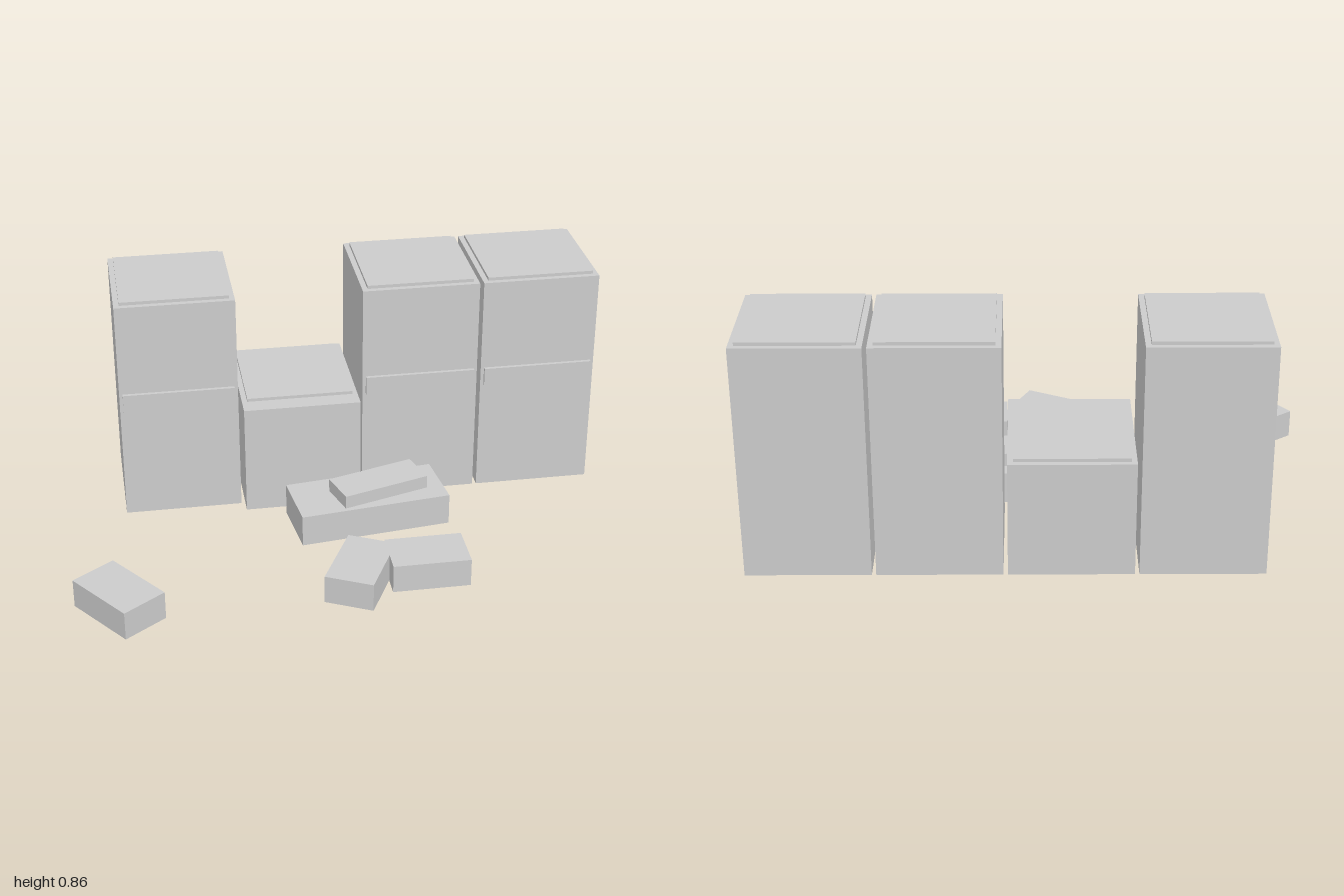
import * as THREE from 'three';

export function createModel() {
  const model = new THREE.Group();
  const grey = new THREE.MeshStandardMaterial({ color: 0xcccccc });
  grey.name = 'plain grey';

  // Box standing on height y, centred on x and z, turned about the vertical
  function box(parent, name, [w, h, d], [x, y, z], turn = 0) {
    const mesh = new THREE.Mesh(new THREE.BoxGeometry(w, h, d), grey);
    mesh.name = name;
    mesh.position.set(x, y + h / 2, z);
    mesh.rotation.y = turn;
    parent.add(mesh);
  }

  // Row of cabinets: three tall ones with a front rail, one low with a front panel
  const W = 0.435, D = 0.445, Z = -0.4075, FRONT = -0.185;
  [-0.5675, -0.1175, 0.3325, 0.7825].forEach((x, i) => {
    const low = i === 1;
    const h = low ? 0.425 : 0.852;
    const cabinet = new THREE.Group();
    cabinet.name = low ? 'lowCabinet' : 'tallCabinet';
    cabinet.position.x = x;
    box(cabinet, 'cabinetBody', [W, h, D], [0, 0, Z]);
    box(cabinet, 'cabinetTop', [0.395, 0.012, 0.405], [0, h, Z]);
    if (low) box(cabinet, 'frontPanel', [W, h, 0.05], [0, 0, FRONT + 0.025]);
    else box(cabinet, 'frontRail', [0.41, 0.07, 0.013], [0, 0.435, FRONT + 0.0065]);
    model.add(cabinet);
  });

  // Two stacked slabs lying in front
  box(model, 'lowerSlab', [0.565, 0.12, 0.238], [0.105, 0, -0.007], 0.121);
  box(model, 'upperSlab', [0.338, 0.05, 0.14], [0.146, 0.12, -0.008], 0.298);

  // Loose blocks on the floor
  const blocks = [[-0.845, 0.461, -0.942], [0.005, 0.43, 1.107], [0.25, 0.405, 0]];
  for (const [x, z, turn] of blocks) {
    box(model, 'looseBlock', [0.28, 0.106, 0.178], [x, 0, z], turn);
  }
  return model;
}
